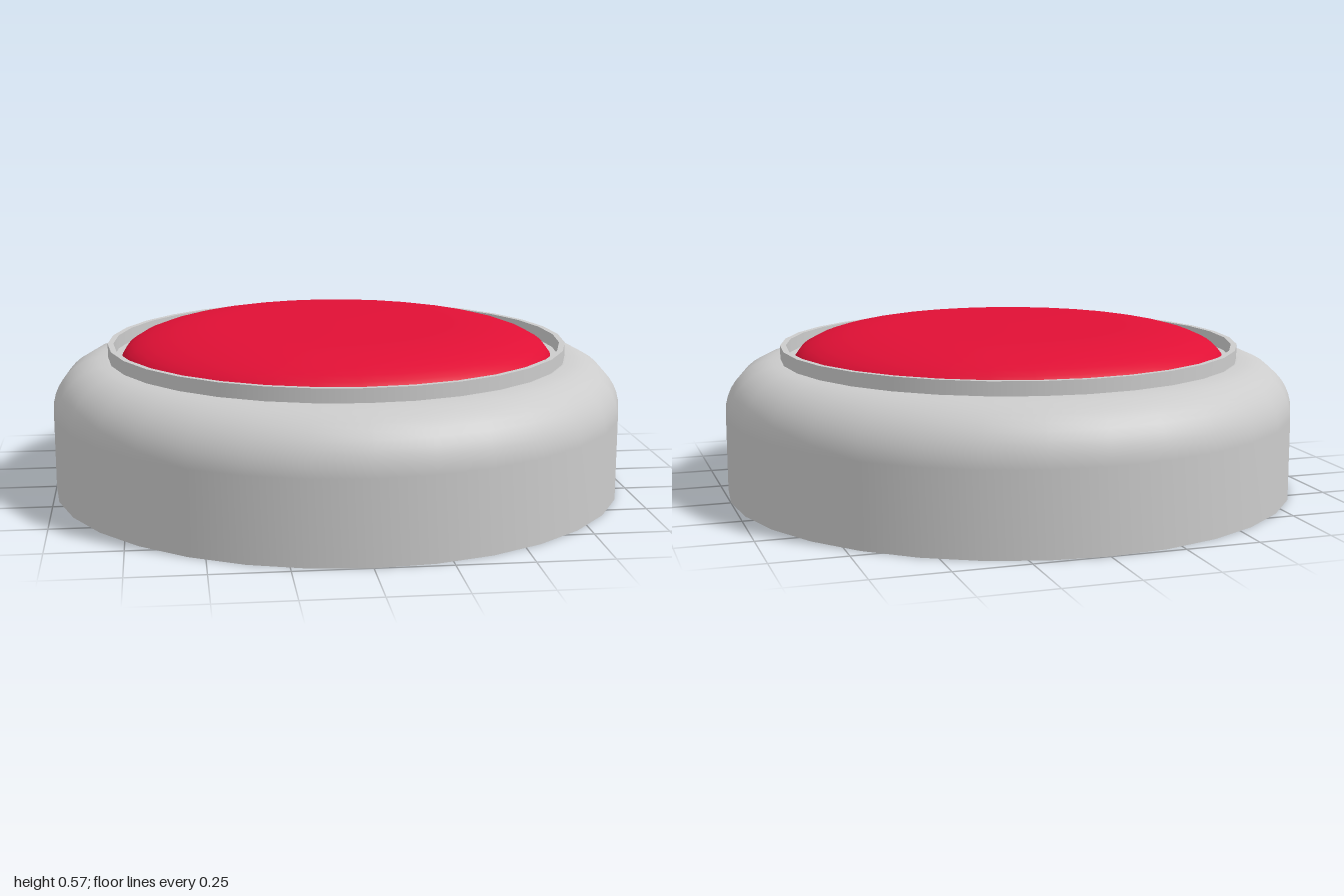
import * as THREE from 'three';
import { mergeGeometries } from 'three/addons/utils/BufferGeometryUtils.js';

const SIDES = 32;

// Turns several profile runs [radius, height]; edges between runs stay sharp.
function turned(name, runs, color) {
  const parts = runs.map(run =>
    new THREE.LatheGeometry(run.map(([r, y]) => new THREE.Vector2(r, y)), SIDES));
  const mesh = new THREE.Mesh(mergeGeometries(parts), new THREE.MeshStandardMaterial({ color }));
  mesh.name = name;
  return mesh;
}

// Quarter ellipse from the outer wall up to the top.
function shoulder(cx, cy, a, b, steps) {
  return Array.from({ length: steps + 1 }, (_, i) => {
    const t = (i / steps) * Math.PI / 2;
    return [cx + a * Math.cos(t), cy + b * Math.sin(t)];
  });
}

export function createModel() {
  const group = new THREE.Group();
  group.name = 'pushButton';

  // Housing: flat base, straight wall, rounded shoulder, flat top
  const round = shoulder(0.81, 0.28, 0.19, 0.185, 10);
  group.add(turned('housing', [
    [[0, 0], [1, 0]],
    [[1, 0], ...round],
    [[0.81, 0.465], [0, 0.465]],
  ], 0xcccccc));

  // Thin raised collar around the button
  group.add(turned('collar', [
    [[0.805, 0.46], [0.805, 0.512]],
    [[0.805, 0.512], [0.785, 0.512]],
    [[0.785, 0.512], [0.785, 0.46]],
  ], 0xcccccc));

  // Red button cap with a rounded rim and a flat centre
  group.add(turned('buttonCap', [
    [...shoulder(0.4, 0.46, 0.357, 0.113, 10), [0, 0.575]],
  ], 0xe01035));

  return group;
}
